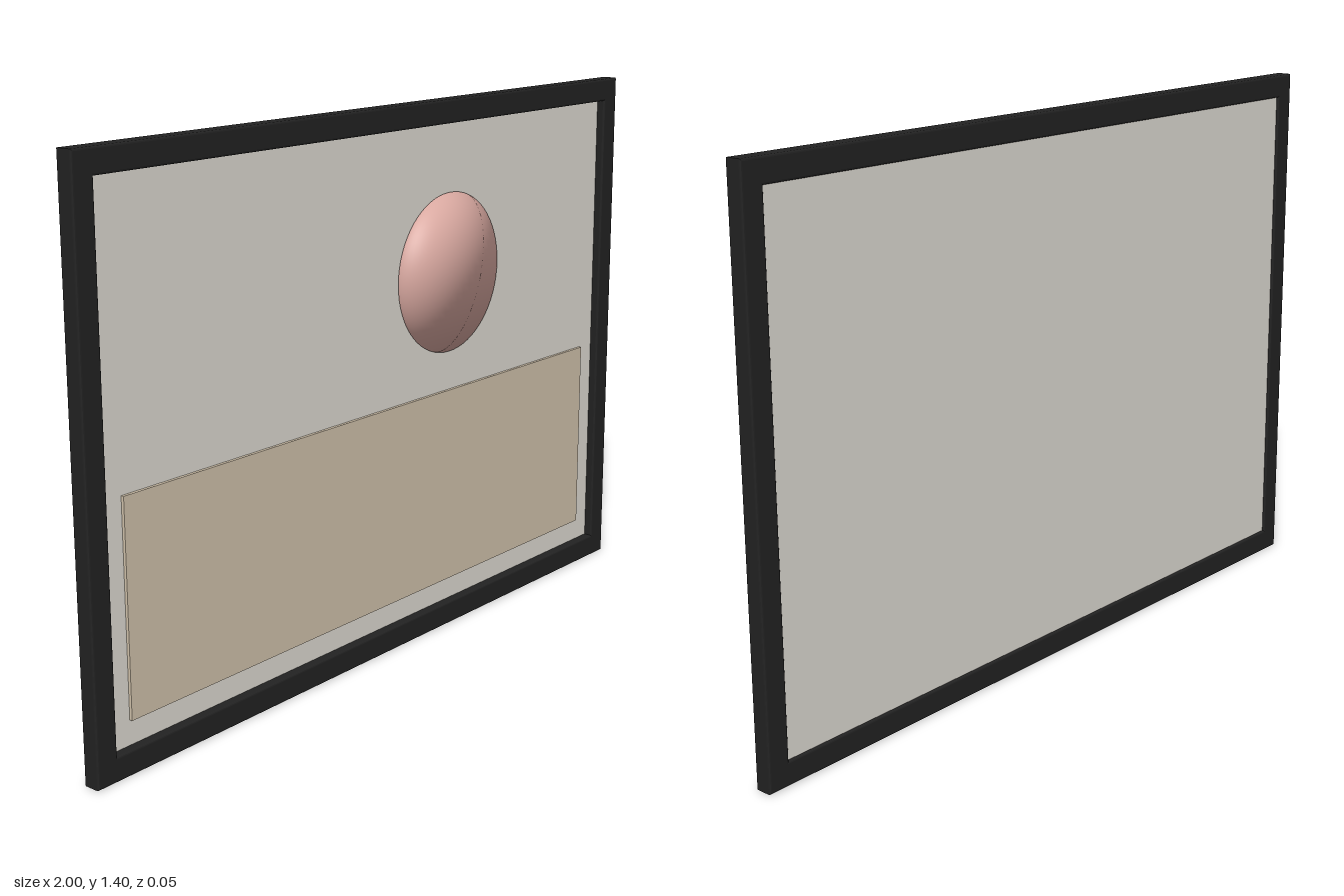
import * as THREE from 'three';

const material = (name, color) => {
  const m = new THREE.MeshStandardMaterial({ color });
  m.name = name;
  return m;
};

// Rectangle outline centred on x = 0, between two heights
function rectangle(PathType, halfWidth, bottom, top) {
  return new PathType([
    new THREE.Vector2(-halfWidth, bottom), new THREE.Vector2(halfWidth, bottom),
    new THREE.Vector2(halfWidth, top), new THREE.Vector2(-halfWidth, top),
  ]);
}

export function createModel() {
  const group = new THREE.Group();
  group.name = 'framedPicture';
  const black = material('frameBlack', 0x222222);
  const cream = material('canvasCream', 0xe0dcd4);
  const sand = material('panelSand', 0xd2c3ac);
  const pink = material('discPink', 0xd8a8a0);

  const add = (name, geometry, mat, x, y, z) => {
    const mesh = new THREE.Mesh(geometry, mat);
    mesh.name = name;
    mesh.position.set(x, y, z);
    group.add(mesh);
  };

  // Frame with softly bevelled inner and outer edges
  const depth = 0.046, bevel = 0.005;
  const outline = rectangle(THREE.Shape, 1, 0, 1.4);
  outline.holes.push(rectangle(THREE.Path, 0.942, 0.06, 1.34));
  const frame = new THREE.ExtrudeGeometry(outline, {
    depth: depth - 2 * bevel, bevelEnabled: true, bevelThickness: bevel,
    bevelSize: bevel, bevelOffset: -bevel, bevelSegments: 3,
  });
  add('frame', frame, black, 0, 0, -depth / 2 + bevel);

  // Canvas recessed in the frame, deeper from the front than from the back
  add('canvas', new THREE.BoxGeometry(1.9, 1.296, 0.016), cream, 0, 0.7, -0.008);

  // Raised band across the lower part
  add('lowerPanel', new THREE.BoxGeometry(1.764, 0.523, 0.008), sand, 0, 0.382, 0.004);

  // Sphere pressed flat; it keeps its round normals, so it still shades as a ball
  const disc = new THREE.SphereGeometry(0.208, 48, 32);
  const p = disc.attributes.position;
  for (let i = 0; i < p.count; i++) p.setZ(i, p.getZ(i) * 0.04);
  add('disc', disc, pink, 0.263, 0.955, 0.004);

  return group;
}
